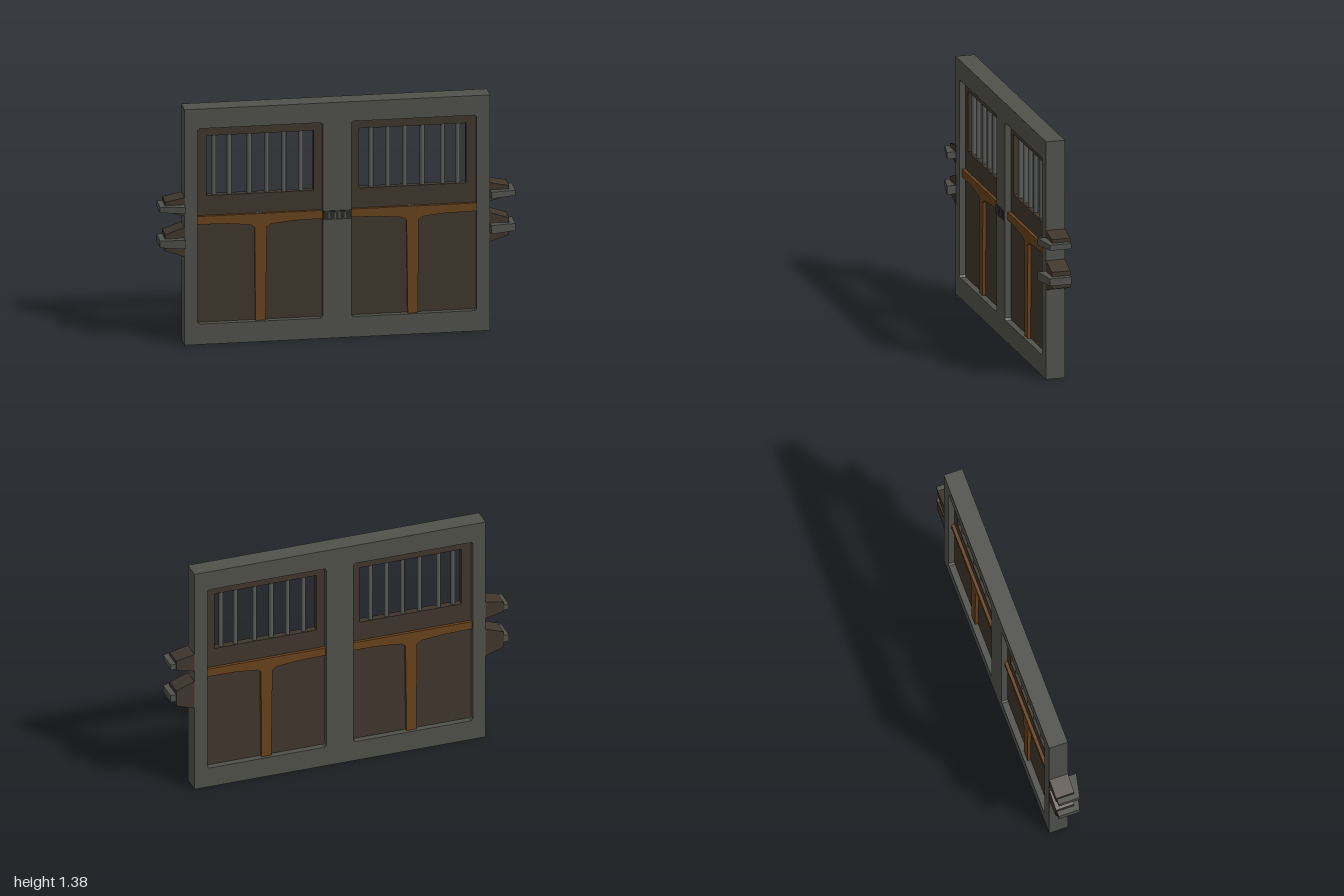
import * as THREE from 'three';

const mat = (name, color) => {
  const m = new THREE.MeshStandardMaterial({ color });
  m.name = name;
  return m;
};

export function createModel() {
  const stone = mat('stone grey', 0x50514b);
  const darkWood = mat('dark wood', 0x3f362d);
  const timber = mat('brown timber', 0x68421c);
  const iron = mat('bar iron', 0x5b5e5b);
  const blackIron = mat('black iron', 0x2b2b27);
  const paleStone = mat('pale stone', 0x8d8b85);
  const model = new THREE.Group();
  model.name = 'barredGate';

  const add = (parent, name, geometry, material, x = 0, y = 0, z = 0) => {
    const mesh = new THREE.Mesh(geometry, material);
    mesh.name = name;
    mesh.position.set(x, y, z);
    parent.add(mesh);
    return mesh;
  };
  const points = (list) => list.map(([x, y]) => new THREE.Vector2(x, y));
  const rect = (x0, x1, y0, y1, c = 0) => points(c
    ? [[x0 + c, y0], [x1 - c, y0], [x1, y0 + c], [x1, y1 - c], [x1 - c, y1], [x0 + c, y1], [x0, y1 - c], [x0, y0 + c]]
    : [[x0, y0], [x1, y0], [x1, y1], [x0, y1]]);
  // Flat plate with holes between two depths
  const plate = (outline, holes, z0, z1) => {
    const shape = new THREE.Shape(outline);
    holes.forEach((h) => shape.holes.push(new THREE.Path(h)));
    const g = new THREE.ExtrudeGeometry(shape, { depth: z1 - z0, bevelEnabled: false });
    return g.translate(0, 0, z0);
  };
  // Block whose inner and outer ends have their own height and front depth
  const taper = (x0, x1, inner, outer, back) => {
    const g = new THREE.BoxGeometry(1, 1, 1).toNonIndexed();
    const p = g.attributes.position;
    for (let i = 0; i < p.count; i++) {
      const out = p.getX(i) > 0;
      const [lo, hi, front] = out ? outer : inner;
      p.setXYZ(i, out ? x1 : x0, p.getY(i) > 0 ? hi : lo, p.getZ(i) > 0 ? front : back);
    }
    g.computeVertexNormals();
    return g;
  };

  // Stone surround with two openings
  add(model, 'frame', plate(rect(-0.86, 0.86, 0, 1.38),
    [rect(-0.785, -0.08, 0.12, 1.265, 0.01), rect(0.08, 0.785, 0.12, 1.265, 0.01)], -0.08, 0.03), stone);

  for (const side of [1, -1]) {
    const door = new THREE.Group();
    door.name = side > 0 ? 'leftDoor' : 'rightDoor';
    model.add(door);
    const span = (a, b) => (side > 0 ? [a, b] : [-b, -a]);

    // Recessed panel with a window
    add(door, 'panel', plate(rect(...span(0.075, 0.79), 0.115, 1.27),
      [rect(...span(0.127, 0.73), 0.86, 1.21)], -0.044, -0.004), darkWood);

    // Window bars
    for (const x of [0.198, 0.292, 0.388, 0.487, 0.6, 0.686]) {
      add(door, 'windowBar', new THREE.CylinderGeometry(0.014, 0.014, 0.37, 8), iron, side * x, 1.035, -0.024);
    }

    // Rail and post in one T, with shallow brackets
    const tee = [[0.08, 0.745], [0.08, 0.698], [0.24, 0.695], [0.37, 0.682], [0.393, 0.665], [0.4, 0.12],
      [0.457, 0.12], [0.461, 0.665], [0.484, 0.682], [0.61, 0.695], [0.785, 0.698], [0.785, 0.745]];
    add(door, 'railAndPost', plate(points(tee.map(([x, y]) => [side * x, y])), [], -0.062, 0.014), timber);

    // Small cluster of pale spikes on the rail
    for (const [dx, dz, r, h] of [[0, 0, 0.022, 0.04], [-0.016, 0.008, 0.016, 0.026], [0.016, -0.006, 0.016, 0.024]]) {
      add(door, 'spike', new THREE.ConeGeometry(r, h, 5).toNonIndexed(), paleStone,
        side * 0.427 + dx, 0.742 + h / 2, -0.02 + dz).geometry.computeVertexNormals();
    }

    // Side brackets: wooden block with an iron-grey tongue
    for (const [name, lo, hi, lo2, hi2, t0, t1] of [
      ['upperBracket', 0.757, 0.866, 0.785, 0.843, 0.786, 0.825],
      ['lowerBracket', 0.518, 0.692, 0.556, 0.653, 0.58, 0.63]]) {
      const bracket = new THREE.Group();
      bracket.name = name;
      bracket.rotation.y = side > 0 ? 0 : Math.PI;
      // For the far side the depth is mirrored so both tongues face forward
      const build = (part, g, m) => {
        if (side < 0) {
          const p = g.attributes.position;
          for (let i = 0; i < p.count; i++) p.setZ(i, -p.getZ(i));
          // Swap two corners of each triangle to keep it facing outward
          for (let i = 0; i < p.count; i += 3) {
            const a = new THREE.Vector3().fromBufferAttribute(p, i + 1);
            const b = new THREE.Vector3().fromBufferAttribute(p, i + 2);
            p.setXYZ(i + 1, b.x, b.y, b.z);
            p.setXYZ(i + 2, a.x, a.y, a.z);
          }
          g.computeVertexNormals();
        }
        add(bracket, part, g, m);
      };
      build('bracketBlock', taper(0.855, 0.968, [lo, hi, 0.031], [lo2, hi2, 0.028], -0.079), darkWood);
      build('bracketTongue', taper(0.86, 1, [t0, t1, 0.08], [t0 + 0.004, t1 - 0.004, 0.05], -0.074), stone);
      model.add(bracket);
    }
  }

  // Latch across the middle post
  const latch = new THREE.Group();
  latch.name = 'latch';
  model.add(latch);
  add(latch, 'latchPlate', new THREE.BoxGeometry(0.16, 0.052, 0.008), blackIron, 0, 0.721, 0.031);
  for (const x of [-0.045, -0.012, 0.012, 0.045]) {
    add(latch, 'latchRib', new THREE.BoxGeometry(0.01, 0.036, 0.008), stone, x, 0.721, 0.033);
  }
  return model;
}
